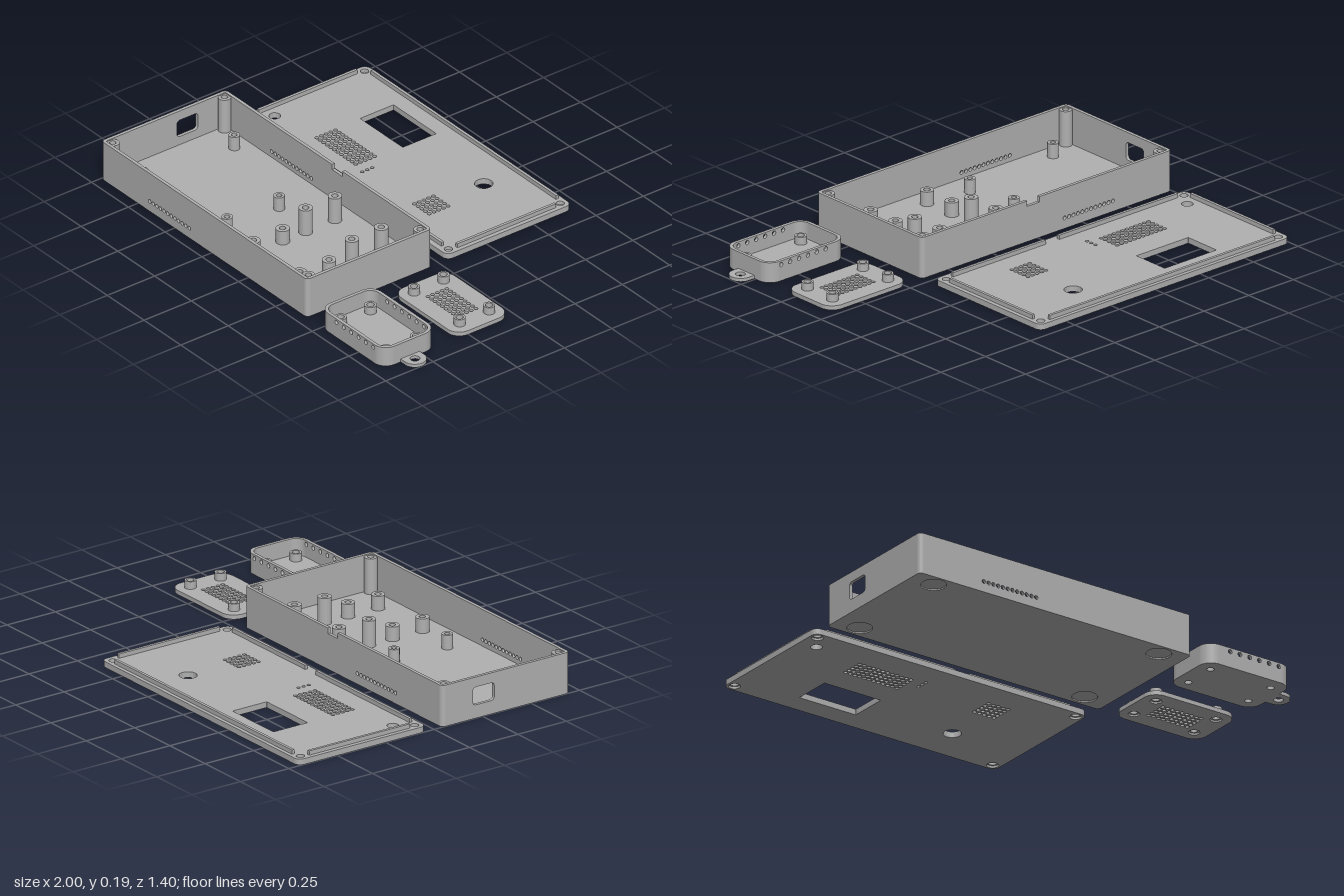
import * as THREE from 'three';

const grey = new THREE.MeshStandardMaterial({ color: 0xb0b0b0 });
grey.name = 'plain grey plastic';

// ---- helpers: plans are drawn in x and -z, then raised along y ----
const circle = (x, y, r) => new THREE.Path().absarc(x, y, r, 0, Math.PI * 2, true);
const hole = (x, z, r) => circle(x, -z, r);

function roundRect(x0, x1, y0, y1, r, Kind = THREE.Shape) {
  const s = new Kind();
  s.absarc(x1 - r, y1 - r, r, 0, Math.PI / 2, false);
  s.absarc(x0 + r, y1 - r, r, Math.PI / 2, Math.PI, false);
  s.absarc(x0 + r, y0 + r, r, Math.PI, Math.PI * 1.5, false);
  s.absarc(x1 - r, y0 + r, r, Math.PI * 1.5, Math.PI * 2, false);
  s.closePath();
  return s;
}

function add(group, name, geometry) {
  const mesh = new THREE.Mesh(geometry, grey);
  mesh.name = name;
  group.add(mesh);
  return mesh;
}

function raise(shape, y0, y1, curveSegments = 8) {
  const g = new THREE.ExtrudeGeometry(shape, { depth: y1 - y0, bevelEnabled: false, curveSegments });
  return g.rotateX(-Math.PI / 2).translate(0, y0, 0);
}

function plate(group, name, [x0, x1, z0, z1], r, y0, y1, holes = []) {
  const s = roundRect(x0, x1, -z1, -z0, r);
  s.holes.push(...holes);
  return add(group, name, raise(s, y0, y1));
}

function post(group, name, x, z, r, bore, y0, y1) {
  const s = new THREE.Shape().absarc(x, -z, r, 0, Math.PI * 2, false);
  s.holes.push(hole(x, z, bore));
  add(group, name, raise(s, y0, y1, 12));
}

function bar(group, name, x0, x1, y0, y1, z0, z1) {
  add(group, name, new THREE.BoxGeometry(x1 - x0, y1 - y0, z1 - z0)
    .translate((x0 + x1) / 2, (y0 + y1) / 2, (z0 + z1) / 2));
}

const grid = (x0, x1, nx, z0, z1, nz, r) => {
  const list = [];
  for (let i = 0; i < nx; i++) for (let j = 0; j < nz; j++) {
    list.push(hole(nx > 1 ? x0 + (x1 - x0) * i / (nx - 1) : x0, z0 + (z1 - z0) * j / (nz - 1), r));
  }
  return list;
};

// Four walls with rounded corners; vents pierce the front and back walls
function walls(group, [x0, x1, z0, z1], r, t, y0, y1, { vents, notch, port }) {
  for (const side of ['front', 'back']) {
    const s = new THREE.Shape();
    s.moveTo(x0 + r, y0).lineTo(x1 - r, y0).lineTo(x1 - r, y1);
    if (notch && side === 'back') {
      s.lineTo(notch[1], y1).lineTo(notch[1], y1 - notch[2])
        .lineTo(notch[0], y1 - notch[2]).lineTo(notch[0], y1);
    }
    s.lineTo(x0 + r, y1).closePath();
    const [a, b, n, y, vr] = vents;
    for (let i = 0; i < n; i++) s.holes.push(circle(a + (b - a) * i / (n - 1), y, vr));
    const g = new THREE.ExtrudeGeometry(s, { depth: t, bevelEnabled: false, curveSegments: 8 });
    add(group, side + 'Wall', g.translate(0, 0, side === 'front' ? z1 - t : z0));
  }
  for (const side of ['left', 'right']) {
    const s = new THREE.Shape();
    s.moveTo(z0 + r, y0).lineTo(z1 - r, y0).lineTo(z1 - r, y1).lineTo(z0 + r, y1).closePath();
    if (port && side === 'right') s.holes.push(roundRect(...port, 0.015, THREE.Path));
    const g = new THREE.ExtrudeGeometry(s, { depth: t, bevelEnabled: false }).rotateY(-Math.PI / 2);
    add(group, side + 'Wall', g.translate(side === 'left' ? x1 : x0 + t, 0, 0));
  }
  const centres = [[x1 - r, z0 + r], [x0 + r, z0 + r], [x0 + r, z1 - r], [x1 - r, z1 - r]];
  centres.forEach(([x, z], i) => {
    const a = i * Math.PI / 2, s = new THREE.Shape();
    s.absarc(x, -z, r, a, a + Math.PI / 2, false);
    s.absarc(x, -z, r - t, a + Math.PI / 2, a, true);
    s.closePath();
    add(group, 'cornerWall', raise(s, y0, y1));
  });
}

const pairs = (xs, zs) => xs.flatMap(x => zs.map(z => [x, z]));

// Open main box with standoffs
function mainBox() {
  const g = new THREE.Group();
  g.name = 'mainBox';
  const area = [-1, 0.4, 0.04, 0.7];
  const feet = pairs([-0.88, 0.28], [0.107, 0.633]).map(([x, z]) => hole(x, z, 0.055));
  plate(g, 'footRecessLayer', area, 0.02, 0, 0.006, feet);
  plate(g, 'floor', area, 0.02, 0.006, 0.02);
  walls(g, area, 0.02, 0.015, 0.02, 0.185, {
    vents: [-0.67, -0.4, 12, 0.048, 0.009],
    notch: [-0.26, -0.19, 0.025],
    port: [0.2, 0.31, 0.06, 0.14],
  });
  for (const [x, z] of pairs([-0.965, 0.365], [0.075, 0.665])) post(g, 'cornerBoss', x, z, 0.028, 0.014, 0.02, 0.18);
  for (const [x, z] of pairs([-0.115, 0.2], [0.152, 0.307])) post(g, 'tallStandoff', x, z, 0.03, 0.014, 0.02, 0.14);
  for (const [x, z] of pairs([-0.115, 0.2], [0.428, 0.583])) post(g, 'shortStandoff', x, z, 0.03, 0.014, 0.02, 0.085);
  for (const [x, z] of [[-0.825, 0.132], [-0.33, 0.28], [-0.33, 0.555], [-0.84, 0.605]]) {
    post(g, 'slimStandoff', x, z, 0.024, 0.012, 0.02, 0.085);
  }
  return g;
}

// Lid lying upside down behind the box
function mainLid() {
  const g = new THREE.Group();
  g.name = 'mainLid';
  const corners = pairs([-0.965, 0.365], [-0.665, -0.075]);
  const openings = () => [
    roundRect(-0.68, -0.39, 0.42, 0.597, 0.002, THREE.Path),
    hole(0.045, -0.51, 0.039),
    hole(-0.915, -0.152, 0.025),
    ...grid(-0.67, -0.405, 12, -0.283, -0.183, 5, 0.009),
    ...grid(-0.005, 0.095, 5, -0.283, -0.183, 5, 0.009),
    ...grid(-0.34, -0.34, 1, -0.22, -0.167, 3, 0.008),
  ];
  const area = [-1, 0.4, -0.7, -0.04];
  for (const [name, y0, y1, r] of [['lidFace', 0, 0.01, 0.026], ['lidInside', 0.01, 0.026, 0.018]]) {
    plate(g, name, area, 0.03, y0, y1, [...openings(), ...corners.map(([x, z]) => hole(x, z, r))]);
  }
  // locating ribs
  bar(g, 'backRib', -0.93, 0.33, 0.026, 0.045, -0.683, -0.67);
  bar(g, 'frontRib', -0.93, -0.265, 0.026, 0.045, -0.077, -0.064);
  bar(g, 'frontRib', -0.19, 0.33, 0.026, 0.045, -0.077, -0.064);
  bar(g, 'sideRib', -0.981, -0.968, 0.026, 0.045, -0.63, -0.11);
  bar(g, 'sideRib', 0.368, 0.381, 0.026, 0.045, -0.63, -0.11);
  return g;
}

// Small vented tray with a hanging lug
function smallTray() {
  const g = new THREE.Group();
  g.name = 'smallTray';
  const area = [0.483, 0.919, 0.417, 0.7];
  const spots = pairs([0.545, 0.855], [0.477, 0.635]);
  plate(g, 'trayFloor', area, 0.06, 0, 0.015, spots.map(([x, z]) => hole(x, z, 0.016)));
  walls(g, area, 0.06, 0.015, 0.015, 0.09, { vents: [0.55, 0.85, 7, 0.073, 0.01] });
  for (const [x, z] of spots) post(g, 'trayPost', x, z, 0.026, 0.016, 0.015, 0.05);
  const lug = new THREE.Shape();
  lug.absarc(0.95, -0.558, 0.05, -Math.PI / 2, Math.PI / 2, false);
  lug.lineTo(0.915, -0.508).lineTo(0.915, -0.608).closePath();
  lug.holes.push(hole(0.952, 0.558, 0.021));
  add(g, 'hangingLug', raise(lug, 0, 0.015, 12));
  return g;
}

// Small lid with posts and a vent grid
function smallLid() {
  const g = new THREE.Group();
  g.name = 'smallLid';
  const area = [0.483, 0.919, 0.028, 0.312];
  const spots = pairs([0.545, 0.855], [0.091, 0.247]);
  for (const [name, y0, y1, r] of [['smallLidFace', 0, 0.008, 0.025], ['smallLidInside', 0.008, 0.019, 0.016]]) {
    plate(g, name, area, 0.06, y0, y1,
      [...grid(0.602, 0.8, 9, 0.118, 0.218, 5, 0.009), ...spots.map(([x, z]) => hole(x, z, r))]);
  }
  for (const [x, z] of spots) post(g, 'smallLidPost', x, z, 0.025, 0.016, 0.019, 0.053);
  return g;
}

export function createModel() {
  const model = new THREE.Group();
  model.name = 'enclosureKit';
  model.add(mainBox(), mainLid(), smallTray(), smallLid());
  return model;
}
